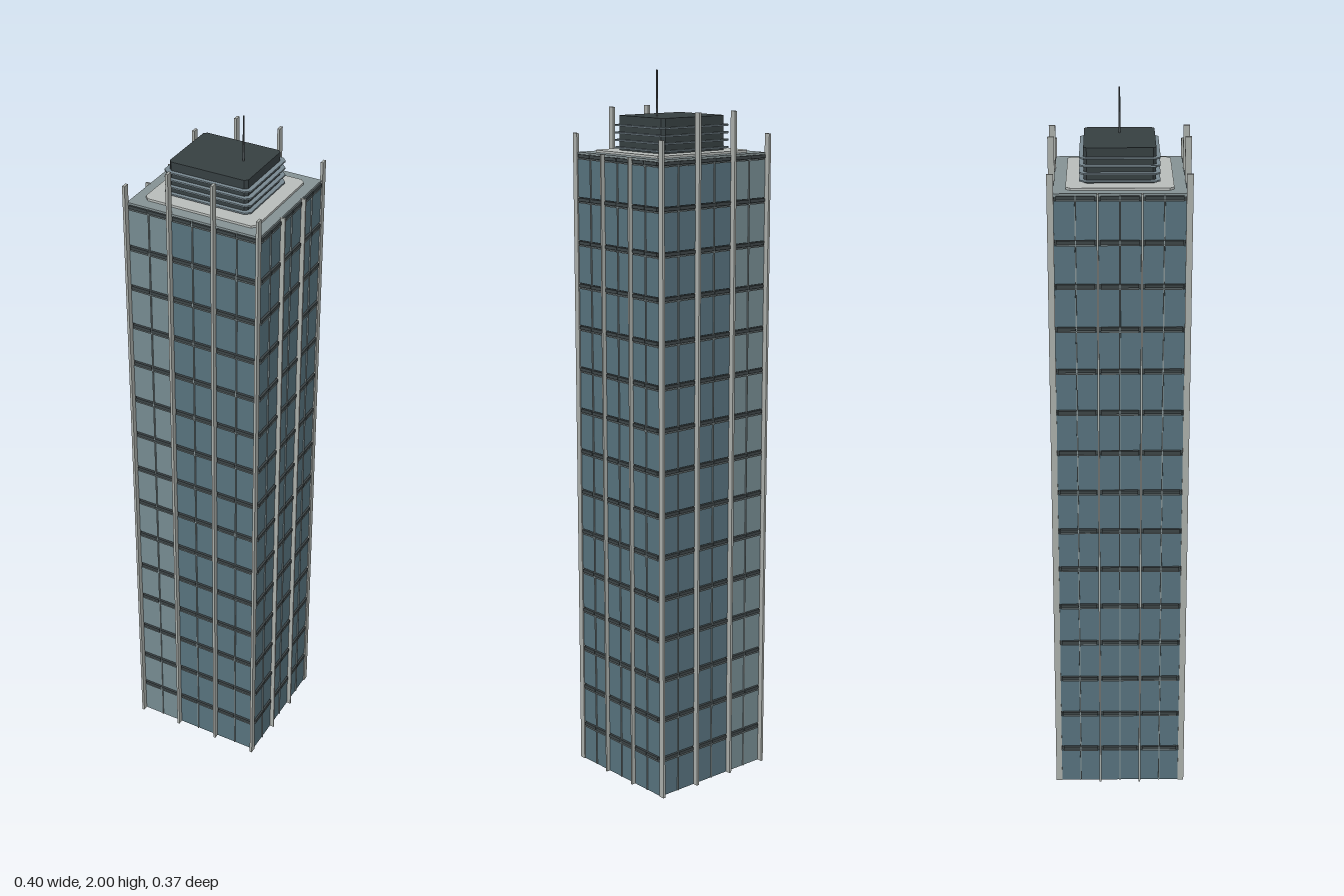
import * as THREE from 'three';
import { mergeGeometries } from 'three/addons/utils/BufferGeometryUtils.js';

const FLOORS = 15, ROOF = 1.775, STEP = ROOF / FLOORS;

function box(w, h, d, x, y, z) {
  return new THREE.BoxGeometry(w, h, d).translate(x, y, z);
}

// Horizontal plate with chamfered corners, resting on y
function plate(hx, hz, c, y, h) {
  const s = new THREE.Shape([
    [-hx + c, -hz], [hx - c, -hz], [hx, -hz + c], [hx, hz - c],
    [hx - c, hz], [-hx + c, hz], [-hx, hz - c], [-hx, -hz + c],
  ].map(([a, b]) => new THREE.Vector2(a, b)));
  return new THREE.ExtrudeGeometry(s, { depth: h, bevelEnabled: false })
    .rotateX(-Math.PI / 2).translate(0, y, 0);
}

export function createModel() {
  const group = new THREE.Group();
  const add = (name, color, geometry) => {
    const mesh = new THREE.Mesh(geometry, new THREE.MeshStandardMaterial({ color }));
    mesh.name = name;
    group.add(mesh);
  };

  // Facade pieces are collected by kind, then merged
  const parts = { glass: [], paleGlass: [], spandrels: [], sills: [], mullions: [], fins: [] };

  // Each side is laid out facing +z, then turned into place
  const sides = [
    { turn: 0, half: 0.19, depth: 0.172, wide: true, pale: 0 },
    { turn: Math.PI, half: 0.19, depth: 0.172, wide: true, pale: 2 },
    { turn: Math.PI / 2, half: 0.172, depth: 0.19, wide: false, pale: -1 },
    { turn: -Math.PI / 2, half: 0.172, depth: 0.19, wide: false, pale: -1 },
  ];
  for (const { turn, half, depth, wide, pale } of sides) {
    const put = (kind, ...b) => parts[kind].push(box(...b).rotateY(turn));
    const bay = half * 2 / 3, pane = bay / 2;

    for (let b = 0; b < 3; b++) {
      for (let p = 0; p < 2; p++) {
        const x = -half + b * bay + (p + 0.5) * pane;
        for (let f = 0; f < FLOORS; f++) {
          const y = f * STEP;
          // Window pane, dark spandrel and pale sill of one floor
          put(b === pale ? 'paleGlass' : 'glass', pane - 0.004, STEP - 0.016, 0.005, x, y + (STEP - 0.016) / 2, depth - 0.0025);
          const shift = (p ? -1 : 1) * 0.003;
          put('spandrels', pane - 0.009, 0.009, 0.009, x + shift, y + STEP - 0.006, depth + 0.0005);
          put('sills', pane - 0.009, 0.003, 0.008, x + shift, y + STEP - 0.014, depth);
        }
      }
      // Thin mullion in the middle of the bay
      put('mullions', 0.003, ROOF, 0.006, -half + (b + 0.5) * bay, ROOF / 2, depth);
    }

    // Vertical fins; the inner ones on the wide sides rise highest
    if (wide) {
      for (let i = 0; i < 4; i++) {
        const h = i === 0 || i === 3 ? 1.83 : 1.895;
        const x = -half + i * bay;
        put('fins', 0.007, h, 0.017, x, h / 2, 0.1785);
      }
    } else {
      for (const x of [-bay / 2, bay / 2]) put('fins', 0.005, 1.78, 0.014, x, 0.89, 0.195);
    }
  }

  add('towerCore', 0x3c4446, box(0.374, ROOF, 0.338, 0, ROOF / 2, 0));
  add('windows', 0x56717c, mergeGeometries(parts.glass));
  add('paleWindows', 0x758a90, mergeGeometries(parts.paleGlass));
  add('spandrels', 0x3c4446, mergeGeometries(parts.spandrels));
  add('sills', 0x849193, mergeGeometries(parts.sills));
  add('mullions', 0x849193, mergeGeometries(parts.mullions));
  add('fins', 0xa9ada9, mergeGeometries(parts.fins));

  // Roof slab and raised deck
  add('roofSlab', 0x849193, box(0.38, 0.008, 0.344, 0, ROOF, 0));
  add('roofDeck', 0xb8bcba, plate(0.16, 0.14, 0.012, ROOF + 0.004, 0.006));

  // Plant room with louvre plates
  add('plantRoom', 0x363f41, plate(0.112, 0.094, 0.008, 1.78, 0.098));
  const louvres = [];
  for (let i = 0; i < 4; i++) louvres.push(plate(0.124, 0.105, 0.012, 1.79 + i * 0.02, 0.004));
  add('louvres', 0x788890, mergeGeometries(louvres));

  // Antenna
  add('antenna', 0x4a5052, new THREE.CylinderGeometry(0.002, 0.003, 0.125, 8).translate(0.052, 1.9375, 0));

  return group;
}
